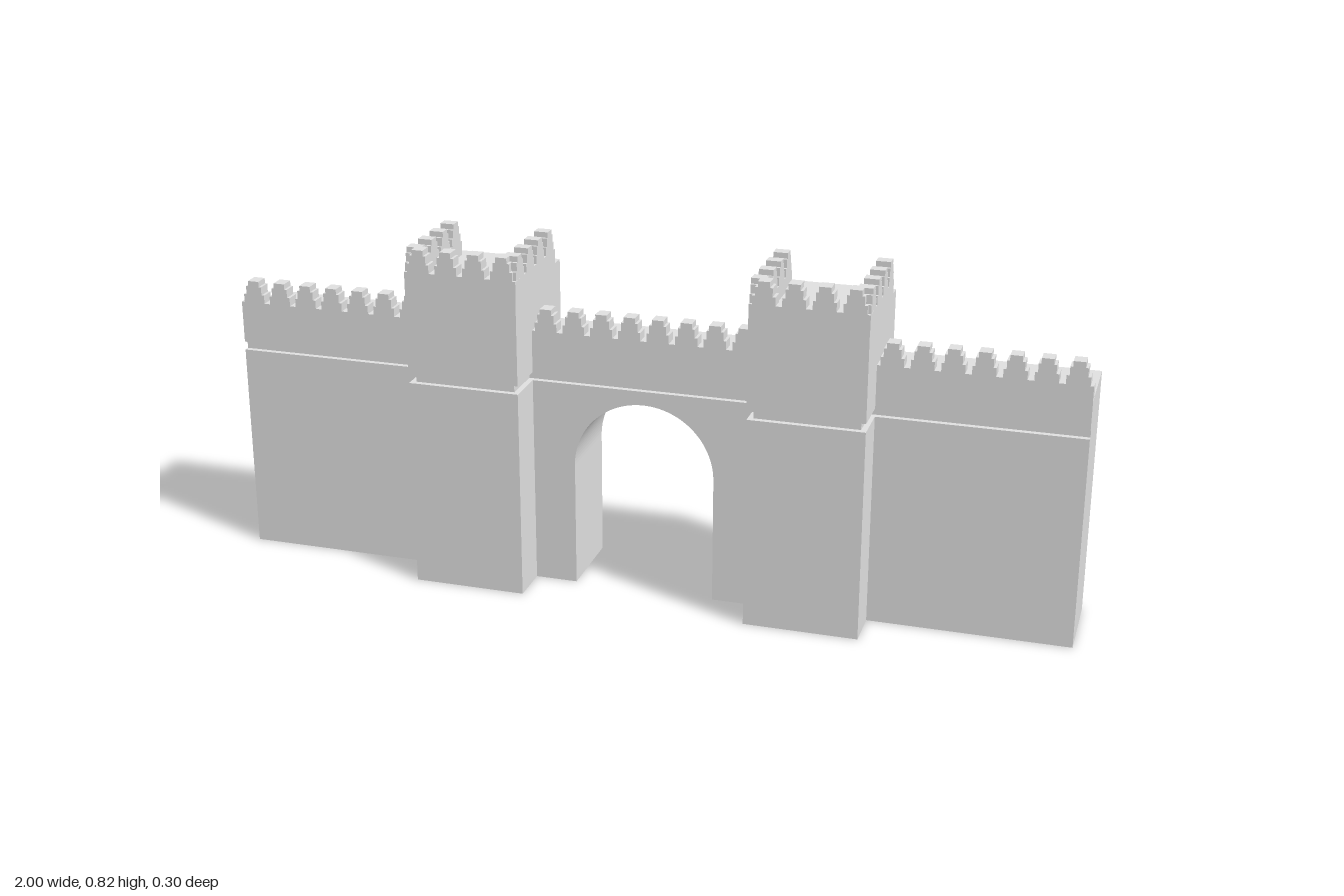
import * as THREE from 'three';

const stone = new THREE.MeshStandardMaterial({ color: 0xe0e0e0 });
stone.name = 'pale grey stone';

const PITCH = 0.2 / 3;     // spacing of the merlons
const THICK = PITCH / 2;   // parapet thickness
const BACK = -0.15, WALL_FRONT = 0.05, TOWER_FRONT = 0.15;
const GROOVE_LOW = 0.5, GROOVE_HIGH = 0.52, INSET = 0.013;
const WALL_TOP = 0.587, TOWER_TOP = 0.733;
const TOWER_IN = 0.267, TOWER_OUT = 0.533;

function add(parent, name, geometry) {
  const mesh = new THREE.Mesh(geometry, stone);
  mesh.name = name;
  parent.add(mesh);
  return mesh;
}

// Box given by its lower and upper corners
function block(parent, name, x0, x1, y0, y1, z0, z1) {
  const mesh = add(parent, name, new THREE.BoxGeometry(x1 - x0, y1 - y0, z1 - z0));
  mesh.position.set((x0 + x1) / 2, (y0 + y1) / 2, (z0 + z1) / 2);
  return mesh;
}

// Low wall carrying a row of stepped merlons, running along +x from the origin
function parapet(count) {
  const shape = new THREE.Shape();
  const steps = [[0.026, 0.034, 0.054], [0.0195, 0.054, 0.074], [0.0135, 0.074, 0.087]];
  shape.moveTo(count * PITCH, 0);
  shape.lineTo(count * PITCH, 0.034);
  for (let i = count - 1; i >= 0; i--) {
    const c = (i + 0.5) * PITCH;
    for (const [half, low, high] of steps) {
      shape.lineTo(c + half, low);
      shape.lineTo(c + half, high);
    }
    for (const [half, low, high] of [...steps].reverse()) {
      shape.lineTo(c - half, high);
      shape.lineTo(c - half, low);
    }
  }
  shape.lineTo(0, 0.034);
  shape.lineTo(0, 0);
  return new THREE.ExtrudeGeometry(shape, { depth: THICK, bevelEnabled: false });
}

function wallParapet(parent, x, count) {
  add(parent, 'wallParapet', parapet(count)).position.set(x, WALL_TOP, WALL_FRONT - THICK);
}

// Outer wall with a groove across the front
function sideWall(side) {
  const wall = new THREE.Group();
  wall.name = side > 0 ? 'leftWall' : 'rightWall';
  const span = (a, b) => (side > 0 ? [a, b] : [-b, -a]);
  block(wall, 'wallBase', ...span(TOWER_OUT, 1), 0, GROOVE_LOW, BACK, WALL_FRONT);
  block(wall, 'wallGroove', ...span(TOWER_OUT - INSET, 1), GROOVE_LOW, GROOVE_HIGH, BACK, WALL_FRONT - INSET);
  block(wall, 'wallTop', ...span(TOWER_OUT, 1), GROOVE_HIGH, WALL_TOP, BACK, WALL_FRONT);
  wallParapet(wall, side > 0 ? TOWER_OUT : -1, 7);
  return wall;
}

// Tower with a groove round its front and a parapet on three sides
function tower(side) {
  const group = new THREE.Group();
  group.name = side > 0 ? 'leftTower' : 'rightTower';
  const half = (TOWER_OUT - TOWER_IN) / 2;
  block(group, 'towerBase', -half, half, 0, GROOVE_LOW, BACK, TOWER_FRONT);
  block(group, 'towerGroove', -half + INSET, half - INSET, GROOVE_LOW, GROOVE_HIGH, BACK, TOWER_FRONT - INSET);
  block(group, 'towerTop', -half, half, GROOVE_HIGH, TOWER_TOP, BACK, TOWER_FRONT);
  add(group, 'frontParapet', parapet(4)).position.set(-half, TOWER_TOP, TOWER_FRONT - THICK);
  for (const x of [-half, half - THICK]) {
    const row = add(group, 'sideParapet', parapet(4));
    row.rotation.y = Math.PI / 2;
    row.position.set(x, TOWER_TOP, TOWER_FRONT);
  }
  group.position.x = side * (TOWER_IN + TOWER_OUT) / 2;
  return group;
}

// Middle wall with the round-headed gateway
function gateWall() {
  const group = new THREE.Group();
  group.name = 'gateWall';
  const r = 0.167, spring = 0.3;
  const shape = new THREE.Shape();
  shape.moveTo(-TOWER_IN, 0);
  shape.lineTo(-r, 0);
  shape.lineTo(-r, spring);
  shape.absarc(0, spring, r, Math.PI, 0, true);
  shape.lineTo(r, 0);
  shape.lineTo(TOWER_IN, 0);
  shape.lineTo(TOWER_IN, GROOVE_LOW);
  shape.lineTo(-TOWER_IN, GROOVE_LOW);
  const arch = new THREE.ExtrudeGeometry(shape, {
    depth: WALL_FRONT - BACK, bevelEnabled: false, curveSegments: 32,
  });
  add(group, 'archway', arch).position.z = BACK;
  const g = TOWER_IN + INSET;
  block(group, 'gateGroove', -g, g, GROOVE_LOW, GROOVE_HIGH, BACK, WALL_FRONT - INSET);
  block(group, 'gateTop', -TOWER_IN, TOWER_IN, GROOVE_HIGH, WALL_TOP, BACK, WALL_FRONT);
  wallParapet(group, -4 * PITCH, 8);
  return group;
}

export function createModel() {
  const model = new THREE.Group();
  model.name = 'castleGate';
  model.add(gateWall());
  for (const side of [-1, 1]) model.add(sideWall(side), tower(side));
  return model;
}
